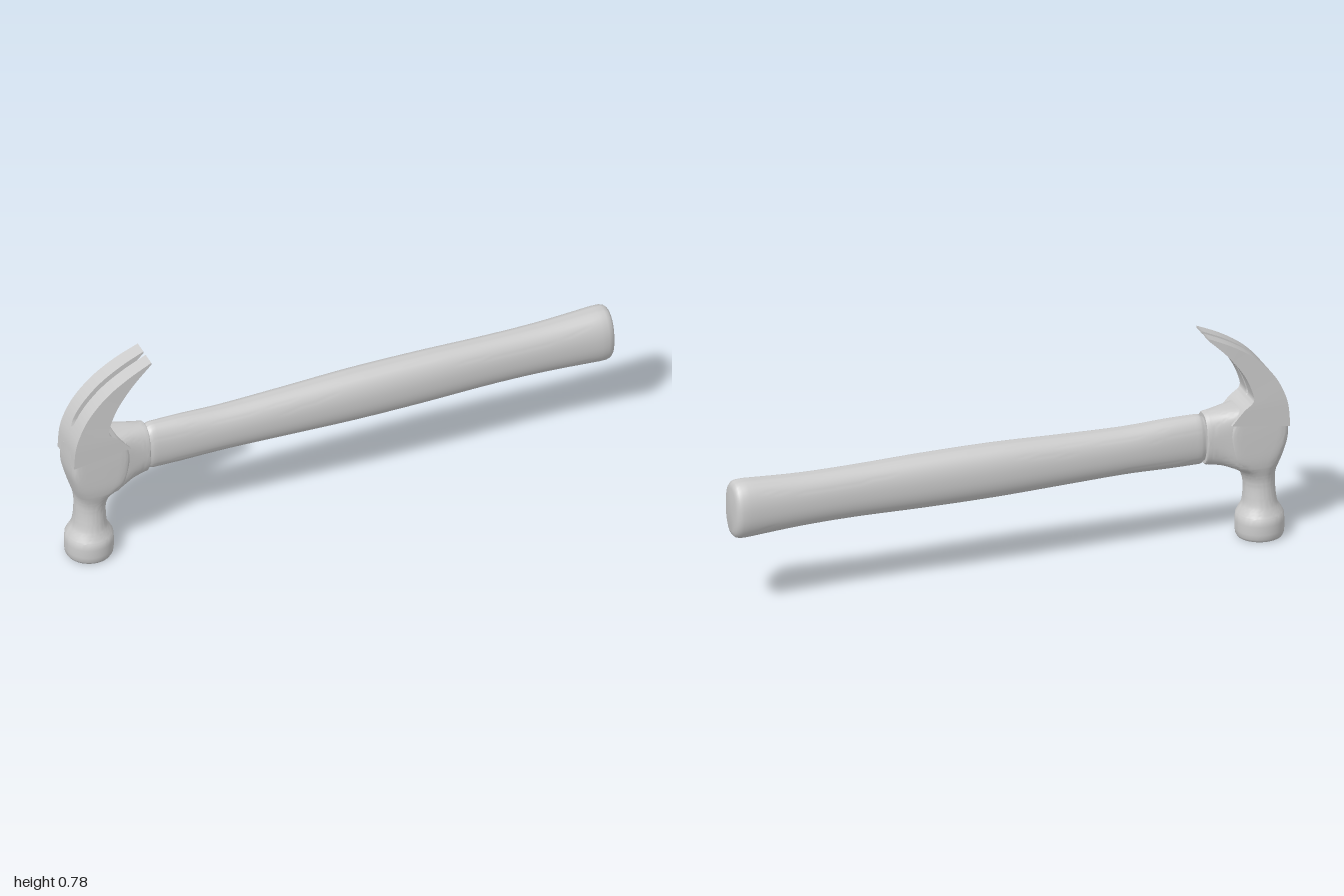
import * as THREE from 'three';
import { toCreasedNormals } from 'three/addons/utils/BufferGeometryUtils.js';

const material = new THREE.MeshStandardMaterial({ color: 0xcccccc });

// Smoothly resample a table of rows, column by column.
function smoothRows(rows, count) {
  const curves = rows[0].map((_, c) => new THREE.SplineCurve(rows.map(r => new THREE.Vector2(r[c], 0))));
  return Array.from({ length: count + 1 }, (_, i) => curves.map(c => c.getPoint(i / count).x));
}

// Superellipse outline: n = 2 is an oval, larger n is squarer.
function oval(ra, rb, n, segments = 56) {
  const p = v => Math.sign(v) * Math.abs(v) ** (2 / n);
  return Array.from({ length: segments }, (_, i) => {
    const a = (i / segments) * Math.PI * 2;
    return [ra * p(Math.cos(a)), rb * p(Math.sin(a))];
  });
}

// Closed skin over a list of rings, with capped ends, always facing outward.
function loft(name, rings, crease = 0.75) {
  const m = rings[0].length, pos = rings.flat(2), index = [];
  rings.slice(1).forEach((_, r) => {
    for (let i = 0; i < m; i++) {
      const a = r * m + i, b = r * m + (i + 1) % m;
      index.push(a, b, a + m, b, b + m, a + m);
    }
  });
  const cap = (r, flip) => {
    const c = pos.length / 3;
    for (let k = 0; k < 3; k++) pos.push(rings[r].reduce((s, p) => s + p[k], 0) / m);
    for (let i = 0; i < m; i++) {
      const a = r * m + i, b = r * m + (i + 1) % m;
      index.push(c, ...(flip ? [b, a] : [a, b]));
    }
  };
  cap(0, true);
  cap(rings.length - 1, false);
  // Signed volume tells whether the winding must be reversed
  const v = i => new THREE.Vector3().fromArray(pos, i * 3);
  let volume = 0;
  for (let i = 0; i < index.length; i += 3) volume += v(index[i]).dot(v(index[i + 1]).cross(v(index[i + 2])));
  if (volume < 0) index.reverse();
  const geometry = new THREE.BufferGeometry();
  geometry.setAttribute('position', new THREE.Float32BufferAttribute(pos, 3));
  geometry.setIndex(index);
  const mesh = new THREE.Mesh(toCreasedNormals(geometry, crease), material);
  mesh.name = name;
  return mesh;
}

// Ring standing across the x axis
const ringX = ([x, bottom, top, rz, n]) =>
  oval((top - bottom) / 2, rz, n).map(([y, z]) => [x, (top + bottom) / 2 + y, z]);
// Ring lying across the y axis
const ringY = ([y, left, right, rz, n]) =>
  oval((right - left) / 2, rz, n).map(([x, z]) => [(left + right) / 2 + x, y, z]);

export function createModel() {
  const model = new THREE.Group();
  model.name = 'clawHammer';

  // Handle: oval grip, waisted near the head and flared at the butt (x, bottom, top, half depth, n)
  const grip = smoothRows([
    [-0.69, 0.298, 0.479, 0.048, 2.2], [-0.58, 0.299, 0.478, 0.053, 2.2],
    [-0.42, 0.303, 0.472, 0.058, 2.2], [-0.2, 0.298, 0.477, 0.063, 2.2],
    [0.05, 0.292, 0.485, 0.068, 2.2], [0.3, 0.292, 0.485, 0.067, 2.2],
    [0.55, 0.296, 0.48, 0.063, 2.2], [0.75, 0.293, 0.48, 0.065, 2.2],
    [0.95, 0.281, 0.49, 0.072, 2.2],
  ], 40);
  model.add(loft('handle', [
    [-0.74, 0.312, 0.465, 0.04, 2.2], [-0.706, 0.308, 0.469, 0.042, 2.2], [-0.699, 0.301, 0.476, 0.046, 2.2],
    ...grip,
    [0.975, 0.281, 0.489, 0.0715, 2.2], [0.988, 0.285, 0.485, 0.068, 2.2],
    [0.996, 0.293, 0.477, 0.06, 2.2], [1, 0.306, 0.464, 0.048, 2.2],
  ].map(ringX)));

  const head = new THREE.Group();
  head.name = 'head';
  model.add(head);

  // Striking face, neck and cheek (y, left x, right x, half depth, n)
  const neck = smoothRows([
    [0.085, -0.998, -0.832, 0.084, 2], [0.1, -0.99, -0.84, 0.076, 2],
    [0.125, -0.976, -0.853, 0.066, 2], [0.16, -0.97, -0.857, 0.059, 2],
    [0.2, -0.968, -0.857, 0.055, 2], [0.23, -0.967, -0.851, 0.057, 2.2],
    [0.255, -0.969, -0.838, 0.063, 2.6], [0.275, -0.974, -0.815, 0.068, 3.2],
    [0.31, -0.984, -0.79, 0.072, 4.5], [0.37, -0.998, -0.785, 0.073, 7],
    [0.42, -1, -0.785, 0.073, 8], [0.47, -0.997, -0.8, 0.072, 8],
  ], 44);
  head.add(loft('strikingFaceAndNeck', [
    [0, -0.985, -0.845, 0.07, 2], [0.003, -0.993, -0.837, 0.078, 2],
    [0.012, -0.998, -0.832, 0.083, 2], [0.03, -1, -0.83, 0.085, 2], [0.06, -1, -0.83, 0.085, 2],
    ...neck,
  ].map(ringY)));

  // Socket that takes the handle: squarish at the cheek, oval at the mouth
  head.add(loft('socket', [
    ...smoothRows([
      [-0.94, 0.29, 0.488, 0.07, 7], [-0.88, 0.272, 0.495, 0.071, 6],
      [-0.84, 0.26, 0.496, 0.071, 5], [-0.81, 0.272, 0.494, 0.069, 4],
      [-0.77, 0.286, 0.491, 0.063, 3], [-0.73, 0.293, 0.487, 0.058, 2.5],
      [-0.714, 0.295, 0.485, 0.057, 2.4],
    ], 24),
    [-0.709, 0.299, 0.481, 0.053, 2.4],
  ].map(ringX)));

  // Claw: two mirrored prongs that part at the slot (outer x, outer y, inner x, inner y, half depth)
  const claw = smoothRows([
    [-1, 0.42, -0.79, 0.45, 0.073], [-0.994, 0.495, -0.832, 0.497, 0.073],
    [-0.978, 0.55, -0.868, 0.528, 0.072], [-0.95, 0.605, -0.864, 0.565, 0.07],
    [-0.91, 0.655, -0.842, 0.618, 0.068], [-0.86, 0.7, -0.81, 0.667, 0.066],
    [-0.79, 0.744, -0.768, 0.718, 0.064], [-0.71, 0.782, -0.71, 0.774, 0.06],
  ], 56);
  for (const side of [1, -1]) {
    head.add(loft(side > 0 ? 'frontProng' : 'backProng', claw.map(([ox, oy, ix, iy, rz], i) => {
      const gap = 0.01 * Math.sqrt(THREE.MathUtils.clamp((i - 15) / 4, 0, 1));
      return [[ox, oy, side * gap], [ox, oy, side * rz], [ix, iy, side * rz], [ix, iy, side * gap]];
    }), 0.6));
  }
  return model;
}
